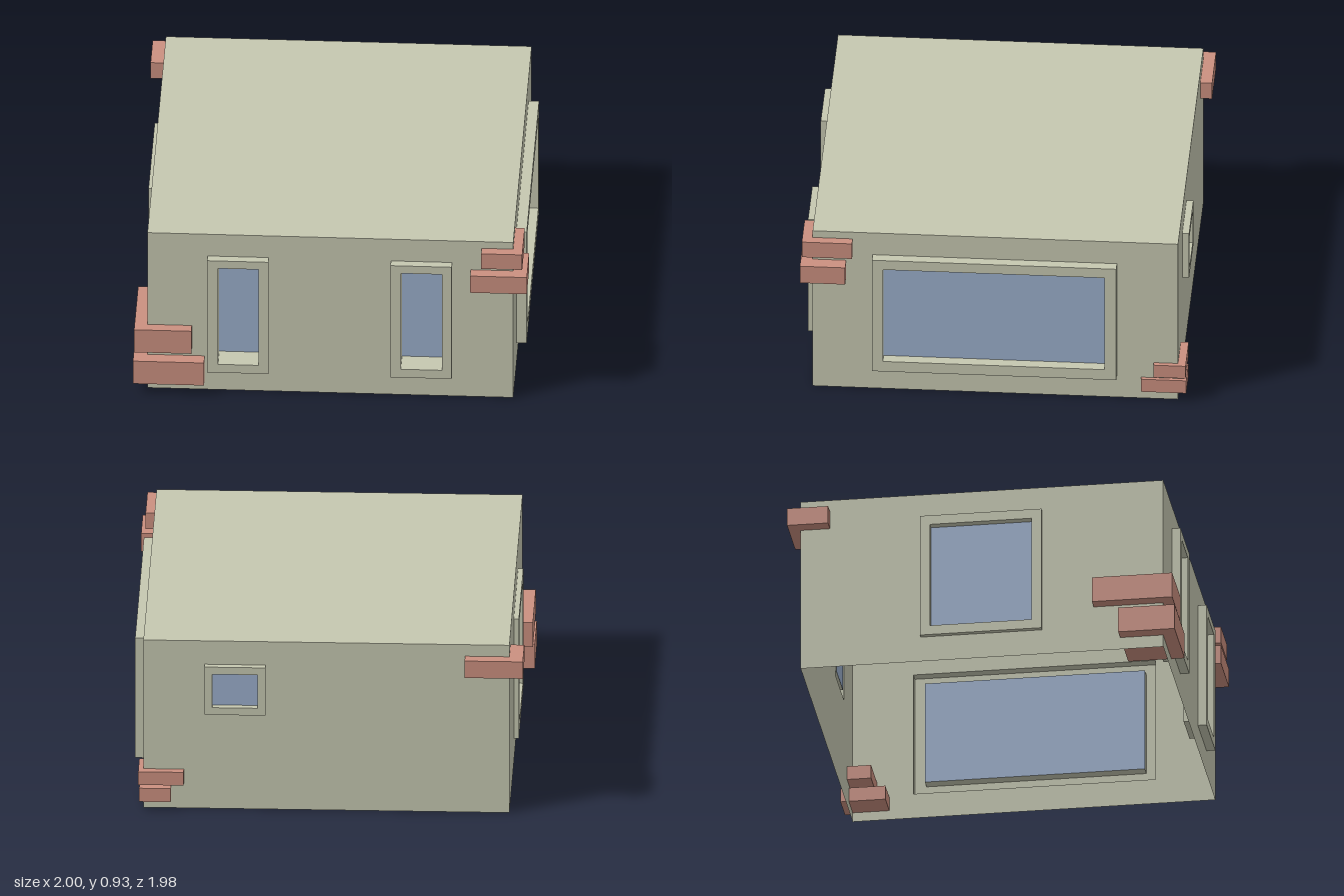
import * as THREE from 'three';

const material = (color) => new THREE.MeshStandardMaterial({ color, side: THREE.DoubleSide });

// Rectangles are [x0, x1, y0, y1]
const corners = ([x0, x1, y0, y1]) => [[x0, y0], [x1, y0], [x1, y1], [x0, y1]];
const path = (rect, Type) => new Type(corners(rect).map(([x, y]) => new THREE.Vector2(x, y)));

// Flat panel with rectangular holes, facing +z
function panel(rect, holes = []) {
  const shape = path(rect, THREE.Shape);
  shape.holes = holes.map((h) => path(h, THREE.Path));
  return new THREE.ShapeGeometry(shape);
}

// Four strips around a rectangle, swept from zFrom to zTo
function sleeve(rect, zFrom, zTo) {
  const pts = corners(rect);
  const position = [];
  pts.forEach(([ax, ay], i) => {
    const [bx, by] = pts[(i + 1) % 4];
    position.push(ax, ay, zFrom, bx, by, zFrom, bx, by, zTo);
    position.push(ax, ay, zFrom, bx, by, zTo, ax, ay, zTo);
  });
  const geometry = new THREE.BufferGeometry();
  geometry.setAttribute('position', new THREE.Float32BufferAttribute(position, 3));
  geometry.computeVertexNormals();
  return geometry;
}

export function createModel() {
  const model = new THREE.Group();
  const plaster = material(0xc5c7b0);
  const glass = material(0x9aaecb);
  const brick = material(0xcb9080);

  const add = (parent, name, geometry, mat, z = 0) => {
    const mesh = new THREE.Mesh(geometry, mat);
    mesh.name = name;
    mesh.position.z = z;
    parent.add(mesh);
    return mesh;
  };

  // Walls: span along the wall, distance from the centre, turn about y.
  // Windows: outer frame, glass opening, frame projection, glass offset from the wall
  const walls = [
    { name: 'front', span: [-0.93, 0.925], dist: 0.92, turn: 0, windows: [
      { outer: [-0.625, -0.315, 0.13, 0.8], pane: [-0.57, -0.365, 0.18, 0.755], out: 0.045, inset: -0.08 },
      { outer: [0.305, 0.615, 0.13, 0.8], pane: [0.357, 0.565, 0.18, 0.755], out: 0.045, inset: -0.08 }] },
    { name: 'right', span: [-0.92, 0.935], dist: 0.925, turn: Math.PI / 2, windows: [
      { outer: [-0.615, 0.625, 0.135, 0.8], pane: [-0.56, 0.565, 0.195, 0.745], out: 0.053, inset: -0.005 }] },
    { name: 'back', span: [-0.925, 0.93], dist: 0.935, turn: Math.PI, windows: [
      { outer: [-0.615, -0.305, 0.535, 0.8], pane: [-0.575, -0.345, 0.575, 0.76], out: 0.035, inset: 0 }] },
    { name: 'left', span: [-0.935, 0.92], dist: 0.93, turn: -Math.PI / 2, windows: [
      { outer: [-0.32, 0.3, 0.135, 0.8], pane: [-0.27, 0.25, 0.185, 0.75], out: 0.026, inset: -0.015 }] },
  ];

  for (const { name, span, dist, turn, windows } of walls) {
    const wall = new THREE.Group();
    wall.name = name + 'Side';
    wall.rotation.y = turn;
    model.add(wall);
    add(wall, name + 'Wall', panel([...span, 0, 0.93], windows.map((w) => w.outer)), plaster, dist);
    for (const { outer, pane, out, inset } of windows) {
      add(wall, 'frameEdge', sleeve(outer, 0, out), plaster, dist);
      add(wall, 'frameFace', panel(outer, [pane]), plaster, dist + out);
      add(wall, 'windowReveal', sleeve(pane, out, inset), plaster, dist);
      add(wall, 'windowGlass', panel(pane), glass, dist + inset);
    }
  }

  // Flat roof, open underneath
  const roof = add(model, 'roof', new THREE.PlaneGeometry(1.855, 1.855), plaster);
  roof.rotation.x = -Math.PI / 2;
  roof.position.set(-0.0025, 0.93, -0.0075);

  // Corner bricks: x0, x1, y0, y1, z0, z1
  const bricks = [
    [-1, -0.64, 0.065, 0.2, 0.7, 0.988],
    [-0.995, -0.705, 0.245, 0.38, 0.565, 0.975],
    [0.71, 0.997, 0.66, 0.76, 0.75, 0.98],
    [0.765, 0.973, 0.8, 0.89, 0.717, 0.972],
    [-1, -0.705, 0.772, 0.866, -0.995, -0.785],
    [0.785, 0.945, 0.05, 0.125, -0.978, -0.748],
    [0.72, 0.95, 0.142, 0.215, -0.975, -0.812],
  ];
  for (const [x0, x1, y0, y1, z0, z1] of bricks) {
    const mesh = add(model, 'cornerBrick', new THREE.BoxGeometry(x1 - x0, y1 - y0, z1 - z0), brick);
    mesh.position.set((x0 + x1) / 2, (y0 + y1) / 2, (z0 + z1) / 2);
  }
  return model;
}
